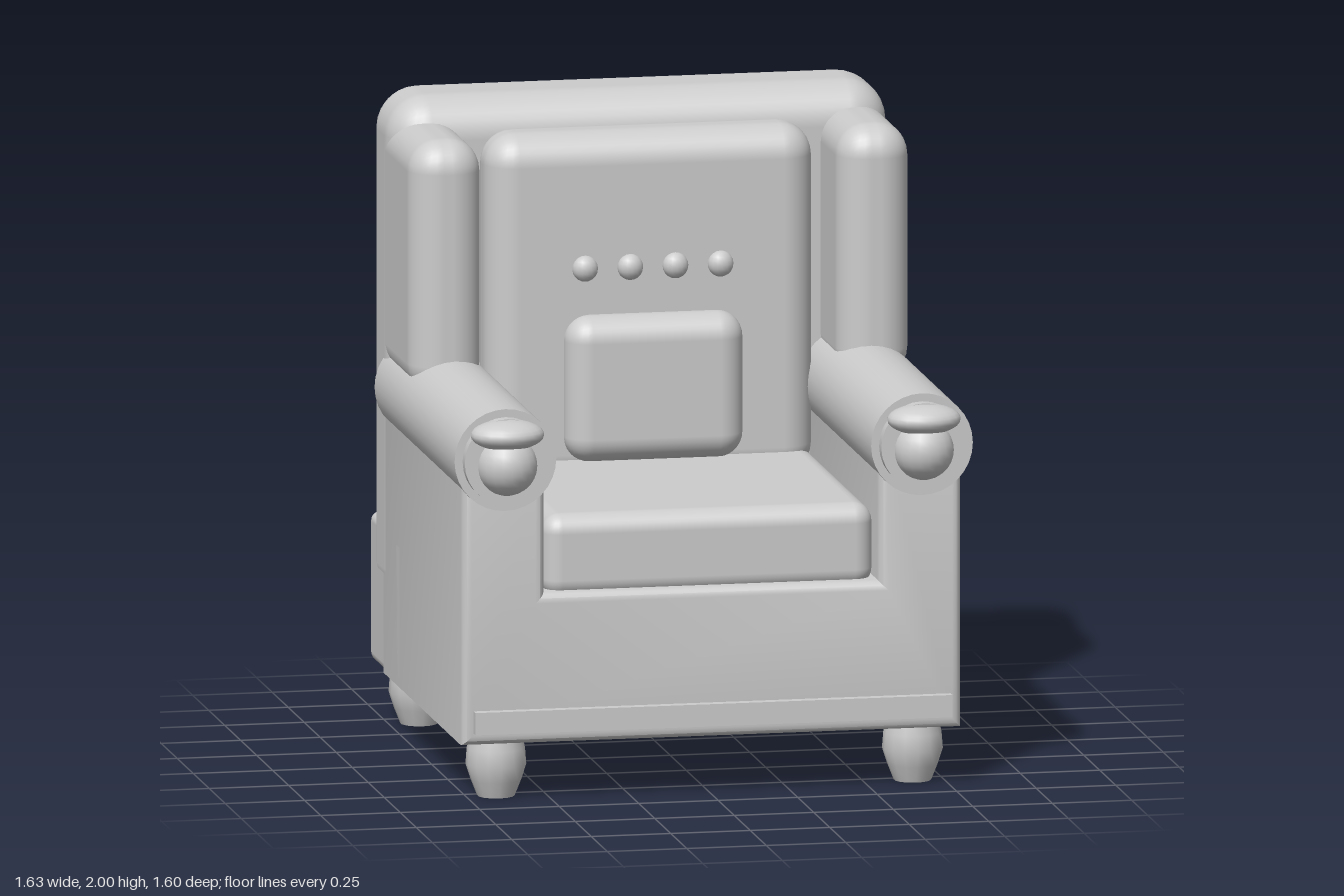
import * as THREE from 'three';
import { RoundedBoxGeometry } from 'three/addons/geometries/RoundedBoxGeometry.js';
import { toCreasedNormals } from 'three/addons/utils/BufferGeometryUtils.js';

const upholstery = new THREE.MeshStandardMaterial({ color: 0xcccccc });
upholstery.name = 'upholstery';

export function createModel() {
  const chair = new THREE.Group();
  chair.name = 'armchair';

  const add = (name, geometry, x = 0, y = 0, z = 0, parent = chair) => {
    const mesh = new THREE.Mesh(geometry, upholstery);
    mesh.name = name;
    mesh.position.set(x, y, z);
    parent.add(mesh);
    return mesh;
  };

  // Rounded box given by its min and max on each axis
  const block = (name, [x0, x1], [y0, y1], [z0, z1], radius, segments = 4) =>
    add(name, new RoundedBoxGeometry(x1 - x0, y1 - y0, z1 - z0, segments, radius),
      (x0 + x1) / 2, (y0 + y1) / 2, (z0 + z1) / 2);

  // U-shaped frame: front rail and both arm walls, with softened edges
  const b = 0.03;
  const outer = 0.785 - b, inner = 0.525 + b;
  const profile = new THREE.Shape([
    [-outer, 0.18 + b], [outer, 0.18 + b], [outer, 1.05], [inner, 1.05],
    [inner, 0.65 - b], [-inner, 0.65 - b], [-inner, 1.05], [-outer, 1.05],
  ].map(([x, y]) => new THREE.Vector2(x, y)));
  const frame = new THREE.ExtrudeGeometry(profile, {
    depth: 1.2, bevelEnabled: true, bevelSize: b, bevelThickness: b, bevelSegments: 3,
  });
  add('frame', toCreasedNormals(frame, 0.7), 0, 0, 0.655 - b - 1.2);

  // Rear of the base and the front trim strip
  block('rearBase', [-0.785, 0.785], [0.18, 0.65], [-0.8, -0.3], 0.03, 3);
  add('frontTrim', new THREE.BoxGeometry(1.5, 0.07, 0.06), 0, 0.255, 0.655);

  // Backrest, wings and cushions
  block('backrest', [-0.787, 0.787], [0.38, 2], [-0.798, -0.43], 0.13);
  block('backCushion', [-0.515, 0.515], [0.8, 1.905], [-0.5, -0.27], 0.1);
  block('seatCushion', [-0.52, 0.52], [0.62, 0.885], [-0.5, 0.615], 0.06);
  block('smallPillow', [-0.28, 0.28], [0.88, 1.34], [-0.36, -0.19], 0.08);

  // Row of buttons
  for (let i = 0; i < 4; i++) {
    add('button', new THREE.SphereGeometry(0.041, 16, 10), -0.213 + i * 0.142, 1.485, -0.272)
      .scale.z = 0.85;
  }

  // Foot outline, from the floor up
  const footProfile = [[0, 0], [0.058, 0], [0.078, 0.05], [0.094, 0.1], [0.09, 0.15], [0.08, 0.2]]
    .map(([r, y]) => new THREE.Vector2(r, y));
  const foot = toCreasedNormals(new THREE.LatheGeometry(footProfile, 14), 0.9);

  for (const side of [-1, 1]) {
    const x = side * 0.655;
    const name = side > 0 ? 'left' : 'right';

    const wing = block(name + 'Wing', [-0.113, 0.113], [1.12, 1.925], [-0.7, -0.11], 0.1);
    wing.position.x = side * 0.673;

    // Rolled arm
    add(name + 'ArmRoll', new THREE.CylinderGeometry(0.16, 0.16, 1.25, 32), x, 1.08, 0.055)
      .rotation.x = Math.PI / 2;

    // Carved scroll at the front of the arm
    const scroll = new THREE.Group();
    scroll.name = name + 'ArmScroll';
    scroll.position.set(x, 1.08, 0.68);
    chair.add(scroll);
    add('scrollDisc', new THREE.CylinderGeometry(0.135, 0.135, 0.04, 28), 0, 0, 0.015, scroll)
      .rotation.x = Math.PI / 2;
    add('scrollKnob', new THREE.SphereGeometry(0.095, 20, 14), 0, -0.012, 0.02, scroll);
    add('scrollCap', new THREE.SphereGeometry(1, 20, 14), 0, 0.085, 0.03, scroll)
      .scale.set(0.115, 0.047, 0.09);

    for (const z of [0.53, -0.67]) {
      add(name + (z > 0 ? 'FrontFoot' : 'RearFoot'), foot, x, 0, z);
    }
  }
  return chair;
}
